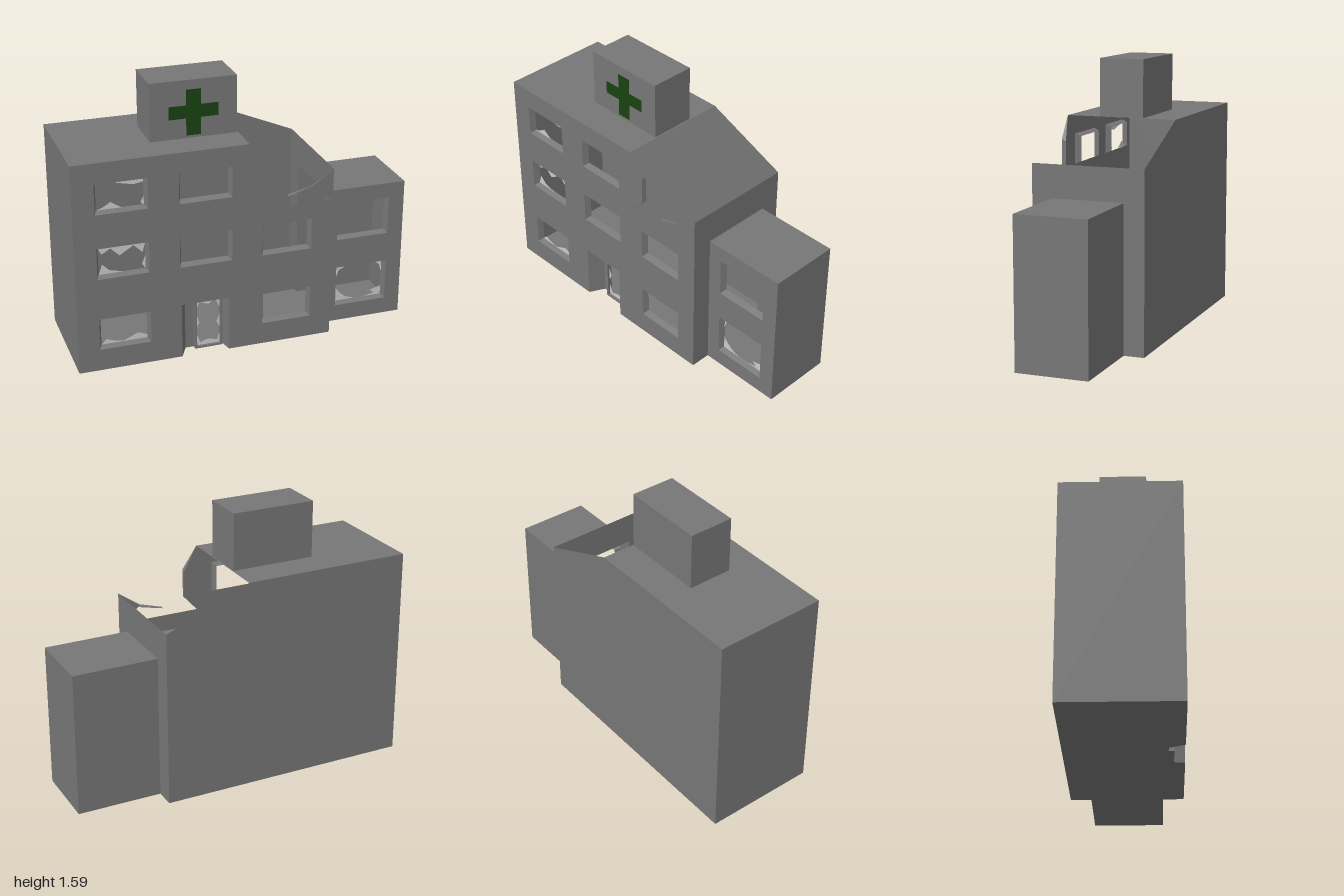
import * as THREE from 'three';

const wall = new THREE.MeshStandardMaterial({ color: 0x777777, side: THREE.DoubleSide, flatShading: true });
const glass = new THREE.MeshStandardMaterial({ color: 0xcccccc, side: THREE.DoubleSide });
const green = new THREE.MeshStandardMaterial({ color: 0x194212 });

const rect = (x0, x1, y0, y1) => [[x0, y0], [x1, y0], [x1, y1], [x0, y1]];

function add(parent, name, geometry, material = wall) {
  const mesh = new THREE.Mesh(geometry, material);
  mesh.name = name;
  parent.add(mesh);
}

function makeShape(outline, holes = []) {
  const path = (pts) => pts.map(([x, y]) => new THREE.Vector2(x, y));
  const shape = new THREE.Shape(path(outline));
  holes.forEach((h) => shape.holes.push(new THREE.Path(path(h))));
  return shape;
}

const sheet = (outline, holes) => new THREE.ShapeGeometry(makeShape(outline, holes));

// Upright slab whose outer face lies at z = front
function slab(parent, name, outline, holes, front, depth, material) {
  const geo = new THREE.ExtrudeGeometry(makeShape(outline, holes), { depth, bevelEnabled: false });
  add(parent, name, geo.translate(0, 0, front - depth), material);
}

// Four-cornered sheet, corners anticlockwise seen from outside
function quad(parent, name, a, b, c, d) {
  const geo = new THREE.BufferGeometry();
  geo.setAttribute('position', new THREE.Float32BufferAttribute([...a, ...b, ...c, ...a, ...c, ...d], 3));
  geo.computeVertexNormals();
  add(parent, name, geo);
}

// Slanted reveal running inwards around a window opening
function windowReveal(parent, [x0, x1, y0, y1], z) {
  const group = new THREE.Group();
  group.name = 'windowReveal';
  const t = 0.015;
  const outer = rect(x0, x1, y0, y1);
  const inner = rect(x0 + t, x1 - t, y0 + t, y1 - t);
  for (let i = 0; i < 4; i++) {
    const j = (i + 1) % 4;
    quad(group, 'revealSide', [...outer[i], z], [...outer[j], z], [...inner[j], z - 0.035], [...inner[i], z - 0.035]);
  }
  parent.add(group);
}

function shards(parent, name, polygons, z) {
  const geo = new THREE.ShapeGeometry(polygons.map((p) => makeShape(p)));
  add(parent, name, geo.translate(0, 0, z), glass);
}

export function createModel() {
  const model = new THREE.Group();
  model.name = 'ruinedClinic';
  const D = 0.33; // half depth of the main block
  const A = 0.21; // half depth of the annex
  const H = 0.85; // height of the annex and of the broken edge

  // Window openings: x0, x1, y0, y1
  const rows = [[0.13, 0.32], [0.565, 0.75], [0.95, 1.13]];
  const cols = [[-0.875, -0.58, [0, 1, 2]], [-0.405, -0.1, [1, 2]], [0.08, 0.375, [0, 1]]];
  const mainWindows = cols.flatMap(([a, b, rs]) => rs.map((r) => [a, b, ...rows[r]]));
  const annexWindows = [[0.585, 0.905, 0.1, 0.35], [0.585, 0.905, 0.53, 0.76]];

  // Main block: front wall with torn-open upper corner and door gap
  const front = sheet([
    [-1, 0], [-0.4, 0], [-0.4, 0.33], [-0.12, 0.33], [-0.12, 0], [0.5, 0],
    [0.5, 1.04], [0.37, 0.95], [0.23, 0.908], [0.37, 0.937], [0.495, H],
    [0, H], [0.09, 0.95], [0.09, 1.12], [0, 1.25], [-1, 1.25],
  ], mainWindows.map((w) => rect(...w)));
  add(model, 'frontWall', front.translate(0, 0, D));
  mainWindows.forEach((w) => windowReveal(model, w, D));

  // Wall thickness showing along the tear, tapering to nothing at its ends
  const zt = 0.303;
  const tear = [
    [[0, 1.25, D], [0, 1.25, D]], [[0.09, 1.12, D], [0.095, 1.11, zt]],
    [[0.09, 0.95, D], [0.095, 0.955, zt]], [[0, H, D], [0, H, D]],
  ];
  const shard = [
    [[0.23, 0.908, D], [0.23, 0.908, zt]], [[0.37, 0.95, D], [0.37, 0.94, zt]], [[0.5, 1.04, D], [0.5, 1.04, D]],
  ];
  [tear, shard].forEach((edge) => {
    for (let i = 0; i < edge.length - 1; i++) {
      quad(model, 'brokenEdge', edge[i][0], edge[i][1], edge[i + 1][1], edge[i + 1][0]);
    }
  });

  // Remaining shell of the hollow main block
  const back = sheet([[-0.5, 0], [1, 0], [1, 1.25], [0, 1.25], [-0.5, 1.04]]);
  add(model, 'backWall', back.rotateY(Math.PI).translate(0, 0, -D));
  quad(model, 'rightEndWall', [-1, 0, -D], [-1, 0, D], [-1, 1.25, D], [-1, 1.25, -D]);
  // Left end wall is open where the annex joins it
  const end = sheet([[-D, 0], [-A, 0], [-A, H], [A, H], [A, 0], [D, 0], [D, 1.04], [-D, 1.04]]);
  add(model, 'leftEndWall', end.rotateY(Math.PI / 2).translate(0.5, 0, 0));
  quad(model, 'flatRoof', [-1, 1.25, D], [0, 1.25, D], [0, 1.25, -D], [-1, 1.25, -D]);
  const base = sheet([
    [-1, -D], [0.5, -D], [0.5, D], [-0.12, D], [-0.14, 0.24], [-0.355, 0.24], [-0.4, D], [-1, D],
  ]);
  add(model, 'groundFloor', base.rotateX(Math.PI / 2));

  // Recessed entrance with a broken glass door
  const zi = 0.24;
  quad(model, 'entranceRightSide', [-0.4, 0, D], [-0.355, 0, zi], [-0.355, 0.33, zi], [-0.4, 0.33, D]);
  quad(model, 'entrancePanel', [-0.355, 0, zi], [-0.3, 0, zi], [-0.3, 0.33, zi], [-0.355, 0.33, zi]);
  quad(model, 'entranceLeftSide', [-0.14, 0, zi], [-0.12, 0, D], [-0.12, 0.33, D], [-0.14, 0.33, zi]);
  quad(model, 'entranceCeiling', [-0.4, 0.33, D], [-0.355, 0.33, zi], [-0.14, 0.33, zi], [-0.12, 0.33, D]);
  slab(model, 'doorFrame', rect(-0.305, -0.14, 0, 0.33), [rect(-0.293, -0.152, 0.012, 0.318)], 0.27, 0.03);

  // Annex
  const annexFront = sheet(rect(0.5, 1, 0, H), annexWindows.map((w) => rect(...w)));
  add(model, 'annexFrontWall', annexFront.translate(0, 0, A));
  annexWindows.forEach((w) => windowReveal(model, w, A));
  quad(model, 'annexBackWall', [1, 0, -A], [0.5, 0, -A], [0.5, H, -A], [1, H, -A]);
  quad(model, 'annexEndWall', [1, 0, A], [1, 0, -A], [1, H, -A], [1, H, A]);
  quad(model, 'annexRoof', [0.5, H, A], [1, H, A], [1, H, -A], [0.5, H, -A]);
  quad(model, 'annexFloor', [0.5, 0, -A], [1, 0, -A], [1, 0, A], [0.5, 0, A]);

  // Rooftop sign block with a cross
  add(model, 'signBlock', new THREE.BoxGeometry(0.5, 0.335, 0.265).translate(-0.257, 1.4175, 0));
  slab(model, 'cross', [
    [-0.3, 1.265], [-0.215, 1.265], [-0.215, 1.365], [-0.115, 1.365], [-0.115, 1.44], [-0.215, 1.44],
    [-0.215, 1.53], [-0.3, 1.53], [-0.3, 1.44], [-0.4, 1.44], [-0.4, 1.365], [-0.3, 1.365],
  ], [], 0.134, 0.003, green);

  // Broken glass left in the openings
  shards(model, 'topWindowGlass', [
    [[-0.86, 0.965], [-0.72, 0.965], [-0.78, 1.005], [-0.82, 0.98]],
    [[-0.76, 1.115], [-0.65, 1.09], [-0.595, 1.1], [-0.595, 1.115]],
    [[-0.595, 0.965], [-0.595, 1.02], [-0.615, 0.98]],
  ], 0.3);
  shards(model, 'middleWindowGlass', [
    [[-0.86, 0.735], [-0.84, 0.7], [-0.79, 0.73], [-0.74, 0.68], [-0.66, 0.73], [-0.61, 0.68], [-0.595, 0.735]],
    [[-0.86, 0.58], [-0.72, 0.58], [-0.8, 0.6], [-0.84, 0.64]],
    [[-0.595, 0.58], [-0.595, 0.66], [-0.615, 0.61]],
  ], 0.3);
  shards(model, 'bottomWindowGlass', [
    [[-0.86, 0.145], [-0.72, 0.145], [-0.78, 0.155], [-0.83, 0.175]],
    [[-0.74, 0.145], [-0.595, 0.145], [-0.595, 0.165], [-0.65, 0.185]],
  ], 0.3);
  shards(model, 'annexWindowGlass', [
    [[0.6, 0.115], [0.72, 0.115], [0.66, 0.135], [0.62, 0.17], [0.6, 0.2]],
    [[0.78, 0.115], [0.89, 0.115], [0.89, 0.17], [0.82, 0.15], [0.85, 0.13]],
    [[0.6, 0.335], [0.6, 0.27], [0.615, 0.315], [0.66, 0.335]],
    [[0.89, 0.335], [0.85, 0.335], [0.875, 0.315], [0.89, 0.26]],
  ], 0.18);
  shards(model, 'doorGlass', [
    [[-0.293, 0.318], [-0.293, 0.25], [-0.27, 0.29], [-0.22, 0.27], [-0.18, 0.3], [-0.152, 0.24], [-0.152, 0.318]],
    [[-0.293, 0.012], [-0.152, 0.012], [-0.152, 0.08], [-0.17, 0.03], [-0.22, 0.045], [-0.27, 0.03], [-0.293, 0.09]],
    [[-0.293, 0.12], [-0.275, 0.16], [-0.293, 0.22]],
    [[-0.152, 0.11], [-0.152, 0.2], [-0.172, 0.15]],
  ], 0.255);
  return model;
}
